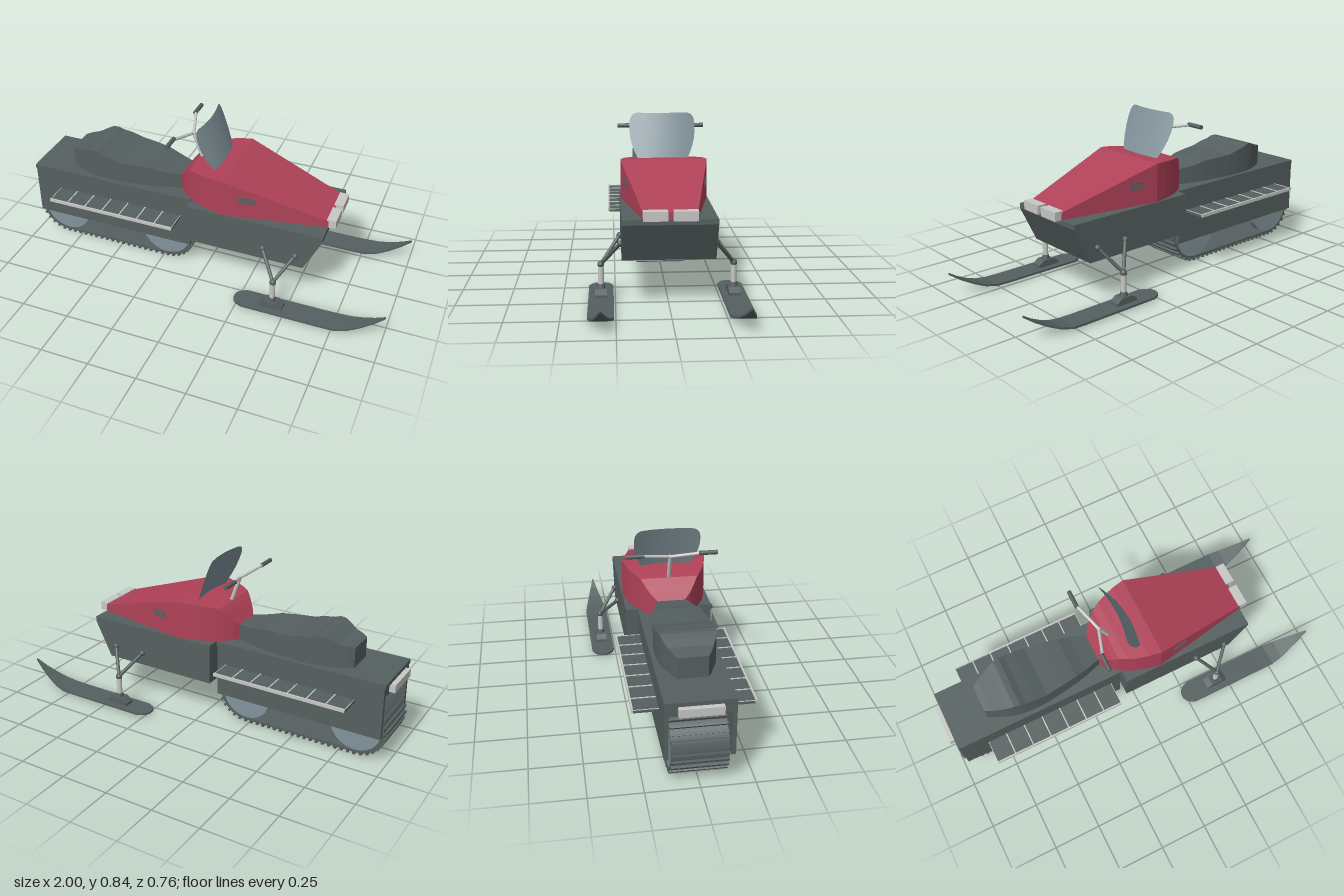
import * as THREE from 'three';

const mat = (name, color) => Object.assign(new THREE.MeshStandardMaterial({ color }), { name });

export function createModel() {
  const root = new THREE.Group();
  root.name = 'snowmobile';
  const dark = mat('charcoal', 0x566060);
  const red = mat('red', 0xb04258);
  const light = mat('light grey', 0xc8c8c6);
  const glass = mat('blue grey', 0x82949b);
  const glassSheet = mat('blue grey sheet', 0x82949b);
  glassSheet.side = THREE.DoubleSide;

  const add = (name, geo, material, x = 0, y = 0, z = 0) => {
    const m = new THREE.Mesh(geo, material);
    m.name = name;
    m.position.set(x, y, z);
    root.add(m);
    return m;
  };
  // Box given by its extents on each axis
  const box = (name, material, x0, x1, y0, y1, z0, z1) =>
    add(name, new THREE.BoxGeometry(x1 - x0, y1 - y0, Math.abs(z1 - z0)), material,
      (x0 + x1) / 2, (y0 + y1) / 2, (z0 + z1) / 2);
  // Cylinder between two points
  const rod = (name, material, a, b, r, r2 = r) => {
    const A = new THREE.Vector3(...a), B = new THREE.Vector3(...b), d = B.clone().sub(A);
    const m = add(name, new THREE.CylinderGeometry(r2, r, d.length(), 14), material);
    m.position.copy(A).add(B).multiplyScalar(0.5);
    m.quaternion.setFromUnitVectors(new THREE.Vector3(0, 1, 0), d.normalize());
    return m;
  };
  const ball = (name, material, p, r) => add(name, new THREE.SphereGeometry(r, 14, 10), material, ...p);
  // Faceted loft along x through rectangular sections [x, halfWidth, bottom, top]
  const loft = (sections) => {
    const rings = sections.map(([x, w, b, t]) => [[x, b, w], [x, b, -w], [x, t, -w], [x, t, w]]);
    const pos = [];
    const quad = (a, b, c, d) => pos.push(...a, ...b, ...c, ...a, ...c, ...d);
    for (let i = 0; i < rings.length - 1; i++) {
      const A = rings[i], B = rings[i + 1];
      for (let k = 0; k < 4; k++) quad(A[k], A[(k + 1) % 4], B[(k + 1) % 4], B[k]);
    }
    quad(...rings[0].slice().reverse());
    quad(...rings[rings.length - 1]);
    const g = new THREE.BufferGeometry();
    g.setAttribute('position', new THREE.Float32BufferAttribute(pos, 3));
    g.computeVertexNormals();
    return g;
  };

  // Rear tunnel: top plate, two sides, tail panel and light
  box('tunnelTop', dark, -0.975, -0.075, 0.41, 0.43, -0.16, 0.16);
  for (const s of [-1, 1]) box('tunnelSide', dark, -0.97, -0.08, 0.14, 0.41, s * 0.14, s * 0.16);
  box('tailPanel', dark, -0.97, -0.955, 0.36, 0.41, -0.14, 0.14);
  box('tailLight', light, -1, -0.97, 0.37, 0.41, -0.1, 0.1);

  // Seat
  const seat = [
    [-0.78, 0.07, 0.535], [-0.75, 0.088, 0.543], [-0.71, 0.104, 0.55], [-0.67, 0.122, 0.57], [-0.64, 0.13, 0.583],
    [-0.61, 0.135, 0.582], [-0.58, 0.138, 0.57], [-0.53, 0.14, 0.562], [-0.47, 0.137, 0.547], [-0.38, 0.125, 0.543],
    [-0.3, 0.112, 0.537], [-0.24, 0.098, 0.522], [-0.15, 0.07, 0.51]];
  add('seat', loft(seat.map(([x, w, t]) => [x, w, 0.43, t])), dark);

  // Track belt: stadium loop with lugs
  const xr = -0.83, xf = -0.23, cy = 0.16, R = 0.145;
  const loop = (path, r) => {
    path.moveTo(xr, cy - r);
    path.lineTo(xf, cy - r);
    path.absarc(xf, cy, r, -Math.PI / 2, Math.PI / 2, false);
    path.lineTo(xr, cy + r);
    path.absarc(xr, cy, r, Math.PI / 2, Math.PI * 1.5, false);
    return path;
  };
  const belt = loop(new THREE.Shape(), R);
  belt.holes.push(loop(new THREE.Path(), R - 0.012));
  add('trackBelt', new THREE.ExtrudeGeometry(belt, { depth: 0.26, bevelEnabled: false, curveSegments: 20 }),
    dark, 0, 0, -0.13);
  const lugPath = loop(new THREE.Path(), R + 0.005), lugs = 64;
  for (let i = 0; i < lugs; i++) {
    const p = lugPath.getPointAt(i / lugs), t = lugPath.getTangentAt(i / lugs);
    const lug = add('trackLug', new THREE.BoxGeometry(0.012, 0.018, 0.26), dark, p.x, p.y, 0);
    lug.rotation.z = Math.atan2(t.y, t.x);
  }
  // Track wheels and axles
  for (const x of [xr, xf]) {
    for (const s of [-1, 1]) rod('trackWheel', glass, [x, cy, s * 0.085], [x, cy, s * 0.125], 0.134)
      .geometry = new THREE.CylinderGeometry(0.134, 0.134, 0.04, 40);
    rod('axle', light, [x, cy, -0.145], [x, cy, 0.145], 0.014);
  }

  // Running boards with cross slats and a raised rim
  for (const s of [-1, 1]) {
    box('runningBoard', dark, -0.83, -0.13, 0.303, 0.316, s * 0.16, s * 0.275);
    box('boardRim', light, -0.83, -0.13, 0.306, 0.323, s * 0.275, s * 0.283);
    for (let i = 0; i <= 7; i++) {
      const x = -0.83 + i * 0.1;
      box('boardSlat', light, Math.max(x - 0.003, -0.83), Math.min(x + 0.003, -0.13), 0.316, 0.319, s * 0.16, s * 0.275);
    }
  }

  // Belly pan
  const pan = new THREE.Shape([[-0.07, 0.22], [0.55, 0.22], [0.64, 0.405], [0.64, 0.43], [-0.07, 0.43]]
    .map(([x, y]) => new THREE.Vector2(x, y)));
  add('bellyPan', new THREE.ExtrudeGeometry(pan, { depth: 0.44, bevelEnabled: false }), dark, 0, 0, -0.22);

  // Hood
  const hood = [[-0.16, 0.065, 0.508], [-0.135, 0.1, 0.54], [-0.105, 0.127, 0.578], [-0.08, 0.145, 0.603],
    [-0.04, 0.168, 0.611], [0, 0.186, 0.615], [0.06, 0.204, 0.622], [0.125, 0.217, 0.625], [0.64, 0.125, 0.466]];
  add('hood', loft(hood.map(([x, w, t]) => [x, w, 0.428, t])), red);
  for (const s of [-1, 1]) {
    box('headlight', light, 0.63, 0.677, 0.43, 0.475, s * 0.013, s * 0.125);
    // Side vents follow the taper of the hood
    for (const y of [0.517, 0.53, 0.543]) {
      const v = add('hoodVent', new THREE.BoxGeometry(0.08, 0.008, 0.008), dark, 0.24, y, s * 0.197);
      v.rotation.y = s * 0.177;
    }
  }

  // Windshield: raked, bowed sheet with a rounded outline
  const outline = [[0.62, 0.128], [0.65, 0.143], [0.68, 0.154], [0.71, 0.162], [0.75, 0.168], [0.79, 0.168],
    [0.815, 0.163], [0.83, 0.153], [0.838, 0.143], [0.842, 0.128]];
  const screen = new THREE.PlaneGeometry(1, 1, 16, outline.length - 1), sp = screen.attributes.position;
  for (let i = 0; i < sp.count; i++) {
    const [y, w] = outline[Math.floor(i / 17)];
    const z = sp.getX(i) * 2 * w;
    sp.setXYZ(i, 0.062 - 0.37 * (y - 0.62) - 0.9 * z * z, y, z);
  }
  screen.computeVertexNormals();
  add('windshield', screen, glassSheet);

  // Steering column and handlebar
  rod('steeringColumn', light, [-0.065, 0.59, 0], [-0.115, 0.73, 0], 0.01);
  for (const s of [-1, 1]) {
    rod('handlebar', light, [-0.115, 0.73, 0], [-0.165, 0.762, s * 0.15], 0.008);
    rod('grip', dark, [-0.165, 0.762, s * 0.135], [-0.165, 0.762, s * 0.227], 0.011);
  }
  ball('columnJoint', light, [-0.115, 0.73, 0], 0.011);

  // Skis with runners and suspension
  const ski = [[0.23, 0.012, 0.01], [0.238, 0.032, 0.01], [0.255, 0.047, 0.01], [0.285, 0.06, 0.01], [0.7, 0.06, 0.01],
    [0.77, 0.06, 0.012], [0.83, 0.05, 0.025], [0.89, 0.035, 0.05], [0.95, 0.018, 0.083], [1, 0.003, 0.118]];
  for (const s of [-1, 1]) {
    const z = s * 0.318;
    add('ski', loft(ski.map(([x, w, b]) => [x, w, b, b + 0.011])), dark, 0, 0, z);
    box('skiRunner', dark, 0.28, 0.72, 0, 0.011, z - 0.007, z + 0.007);
    add('skiFoot', loft([[0.37, 0.028, 0.02, 0.034], [0.4, 0.028, 0.02, 0.055], [0.46, 0.028, 0.02, 0.055],
      [0.49, 0.028, 0.02, 0.034]]), dark, 0, 0, z);
    rod('footCollar', dark, [0.43, 0.05, z], [0.43, 0.075, z], 0.022, 0.016);
    rod('strut', light, [0.43, 0.06, z], [0.43, 0.165, z], 0.014);
    ball('strutJoint', dark, [0.43, 0.17, z], 0.017);
    for (const x of [0.34, 0.51]) {
      rod('suspensionArm', dark, [0.43, 0.17, z], [x, 0.29, s * 0.226], 0.009);
      ball('armJoint', dark, [x, 0.29, s * 0.226], 0.015);
    }
  }
  return root;
}
